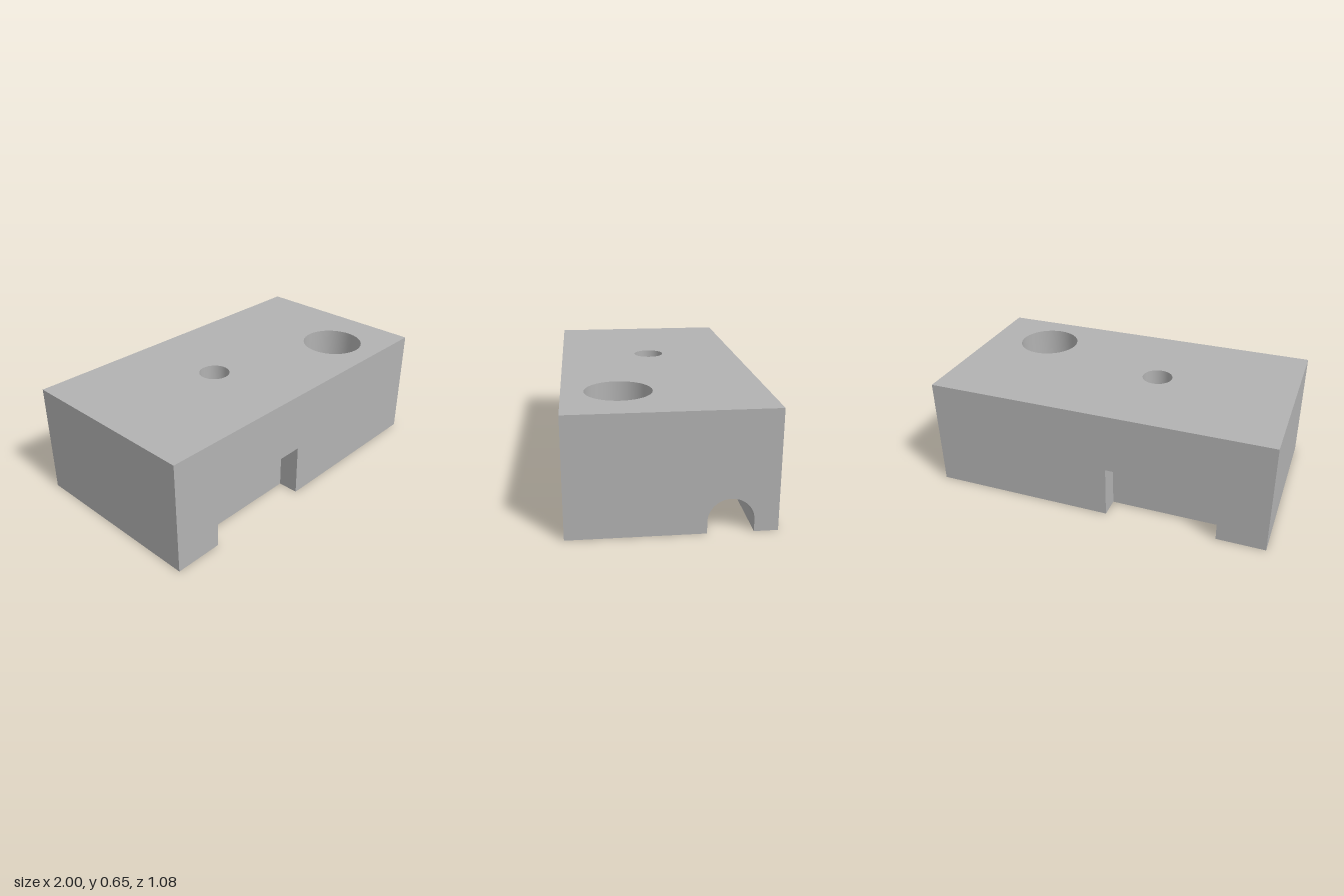
import * as THREE from 'three';

const grey = new THREE.MeshStandardMaterial({ color: 0xb2b2b2 });
grey.name = 'plainGrey';

const rect = (a, b, c, d) => [[a, c], [b, c], [b, d], [a, d]];

// Points on an arc, angles in degrees
function arc(cx, cy, r, from, to, n) {
  return Array.from({ length: n + 1 }, (_, i) => {
    const t = THREE.MathUtils.degToRad(from + (to - from) * i / n);
    return [cx + r * Math.cos(t), cy + r * Math.sin(t)];
  });
}

const toVectors = pts => pts.map(p => new THREE.Vector2(p[0], p[1]));

export function createModel() {
  const model = new THREE.Group();
  model.name = 'block';

  function add(name, geometry) {
    const mesh = new THREE.Mesh(geometry, grey);
    mesh.name = name;
    model.add(mesh);
  }

  // Flat face across one axis, facing along sign. Outline is (z,y), (x,z) or (x,y).
  function face(name, axis, value, sign, outline, holes = []) {
    const shape = new THREE.Shape(toVectors(outline));
    holes.forEach(h => shape.holes.push(new THREE.Path(toVectors(h))));
    const g = new THREE.ShapeGeometry(shape).toNonIndexed();
    const p = g.attributes.position;
    // mapping (u,v) to z,y or x,z mirrors the winding; x,y keeps it
    const flip = (axis === 'z' ? 1 : -1) !== sign;
    const pts = [];
    for (let i = 0; i < p.count; i++) {
      const u = p.getX(i), v = p.getY(i);
      pts.push(axis === 'x' ? [value, v, u] : axis === 'y' ? [u, value, v] : [u, v, value]);
    }
    for (let i = 0; i < pts.length; i += 3) {
      const tri = flip ? [pts[i], pts[i + 2], pts[i + 1]] : [pts[i], pts[i + 1], pts[i + 2]];
      tri.forEach((q, k) => p.setXYZ(i + k, ...q));
    }
    g.computeVertexNormals();
    add(name, g);
  }

  // Open strip: a (z,y) path drawn out along x, going from -z over the top to +z
  function sweep(name, path, x0, x1) {
    const pos = [];
    for (let i = 0; i < path.length - 1; i++) {
      const [za, ya] = path[i], [zb, yb] = path[i + 1];
      pos.push(x0, ya, za, x1, ya, za, x1, yb, zb, x0, ya, za, x1, yb, zb, x0, yb, zb);
    }
    const g = new THREE.BufferGeometry();
    g.setAttribute('position', new THREE.Float32BufferAttribute(pos, 3));
    g.computeVertexNormals();
    add(name, g);
  }

  // Inward-facing wall of a vertical round hole
  function bore(name, x, z, r, y0, y1) {
    const g = new THREE.CylinderGeometry(r, r, y1 - y0, 48, 1, true);
    g.translate(x, (y0 + y1) / 2, z);
    const ix = g.index;
    for (let i = 0; i < ix.count; i += 3) {
      const b = ix.getX(i + 1);
      ix.setX(i + 1, ix.getX(i + 2));
      ix.setX(i + 2, b);
    }
    const n = g.attributes.normal;
    for (let i = 0; i < n.count; i++) n.setXYZ(i, -n.getX(i), 0, -n.getZ(i));
    add(name, g);
  }

  const H = 0.65, D = 0.54;               // block height and half depth
  const nx0 = -0.72, nx1 = -0.07, nh = 0.305, nz = 0.42; // side recesses
  const px0 = -0.945, px1 = 0.13, pz = 0.38, roof = 0.55; // pocket underneath
  const ledge = 0.195, uz = 0.28;         // ledge height, upper half width
  const cz = -0.295, cy = 0.065, cr = 0.12; // arched channel
  const cEnd = 0;
  const cut = THREE.MathUtils.radToDeg(Math.acos((-pz - cz) / cr));
  const archBack = arc(cz, cy, cr, 180, cut, 8);
  const archMain = arc(cz, cy, cr, cut, 0, 24);
  const cutY = archMain[0][1];
  const zBack = cz - cr, zFront = cz + cr;
  const smallHole = arc(-0.195, 0, 0.088, 0, 360, 48).slice(0, -1);
  const largeHole = arc(0.62, 0.24, 0.18, 0, 360, 48).slice(0, -1);

  // Outer faces
  face('top', 'y', H, 1, rect(-1, 1, -D, D), [smallHole, largeHole]);
  face('rightEnd', 'x', -1, -1, rect(-D, D, 0, H));
  face('leftEnd', 'x', 1, 1, [[-D, 0], [zBack, 0], ...archBack, ...archMain.slice(1),
    [zFront, 0], [D, 0], [D, H], [-D, H]]);
  face('underside', 'y', 0, -1, [
    [-1, -D], [nx0, -D], [nx0, -nz], [nx1, -nz], [nx1, -D], [1, -D], [1, zBack],
    [cEnd, zBack], [cEnd, -pz], [px0, -pz], [px0, pz], [px1, pz], [px1, zFront], [1, zFront],
    [1, D], [nx1, D], [nx1, nz], [nx0, nz], [nx0, D], [-1, D]], [largeHole]);

  // Front and back faces with their shallow recesses
  for (const s of [1, -1]) {
    const side = s > 0 ? 'front' : 'back';
    const [za, zb] = s > 0 ? [nz, D] : [-D, -nz];
    face(side, 'z', s * D, s, [[-1, 0], [nx0, 0], [nx0, nh], [nx1, nh], [nx1, 0], [1, 0], [1, H], [-1, H]]);
    face(side + 'RecessWall', 'z', s * nz, s, rect(nx0, nx1, 0, nh));
    face(side + 'RecessCeiling', 'y', nh, -1, rect(nx0, nx1, za, zb));
    face(side + 'RecessRightSide', 'x', nx0, 1, rect(za, zb, 0, nh));
    face(side + 'RecessLeftSide', 'x', nx1, -1, rect(za, zb, 0, nh));
  }

  // Pocket with a ledge along both long walls
  const backStep = [[-pz, ledge], [-0.315, ledge], [-uz, 0.226], [-uz, roof]];
  const frontStep = backStep.map(([z, y]) => [-z, y]).reverse();
  sweep('pocketBackStep', backStep, px0, px1);
  sweep('pocketFrontStep', [...frontStep, [pz, 0]], px0, px1);
  face('pocketBackWall', 'z', -pz, 1,
    [[px0, 0], [cEnd, 0], [cEnd, cutY], [px1, cutY], [px1, ledge], [px0, ledge]]);
  face('pocketCeiling', 'y', roof, -1, rect(px0, px1, -uz, uz), [smallHole]);
  face('pocketRightWall', 'x', px0, 1, [[-pz, 0], ...backStep, ...frontStep, [pz, 0]]);
  face('pocketLeftWall', 'x', px1, -1,
    [...backStep, ...frontStep, [pz, 0], [zFront, 0], ...archMain.slice().reverse()]);

  // Arched channel from the end face into the pocket
  sweep('channelBack', [[zBack, 0], ...archBack], cEnd, 1);
  sweep('channelArch', [...archMain, [zFront, 0]], px1, 1);
  face('channelEnd', 'x', cEnd, 1, [[zBack, 0], ...archBack, [-pz, 0]]);

  // Small snap ridges on the pocket walls
  const ridge = [[-pz, 0.065], [-0.34, 0.108], [-pz, 0.15]];
  for (const s of [1, -1]) {
    const name = s > 0 ? 'frontRidge' : 'backRidge';
    const path = s > 0 ? ridge.map(([z, y]) => [-z, y]).reverse() : ridge;
    sweep(name, path, -0.59, -0.245);
    face(name + 'RightCap', 'x', -0.59, -1, path);
    face(name + 'LeftCap', 'x', -0.245, 1, path);
  }

  // Vertical holes
  bore('smallHole', -0.195, 0, 0.088, roof, H);
  bore('largeHole', 0.62, 0.24, 0.18, 0, H);

  return model;
}
